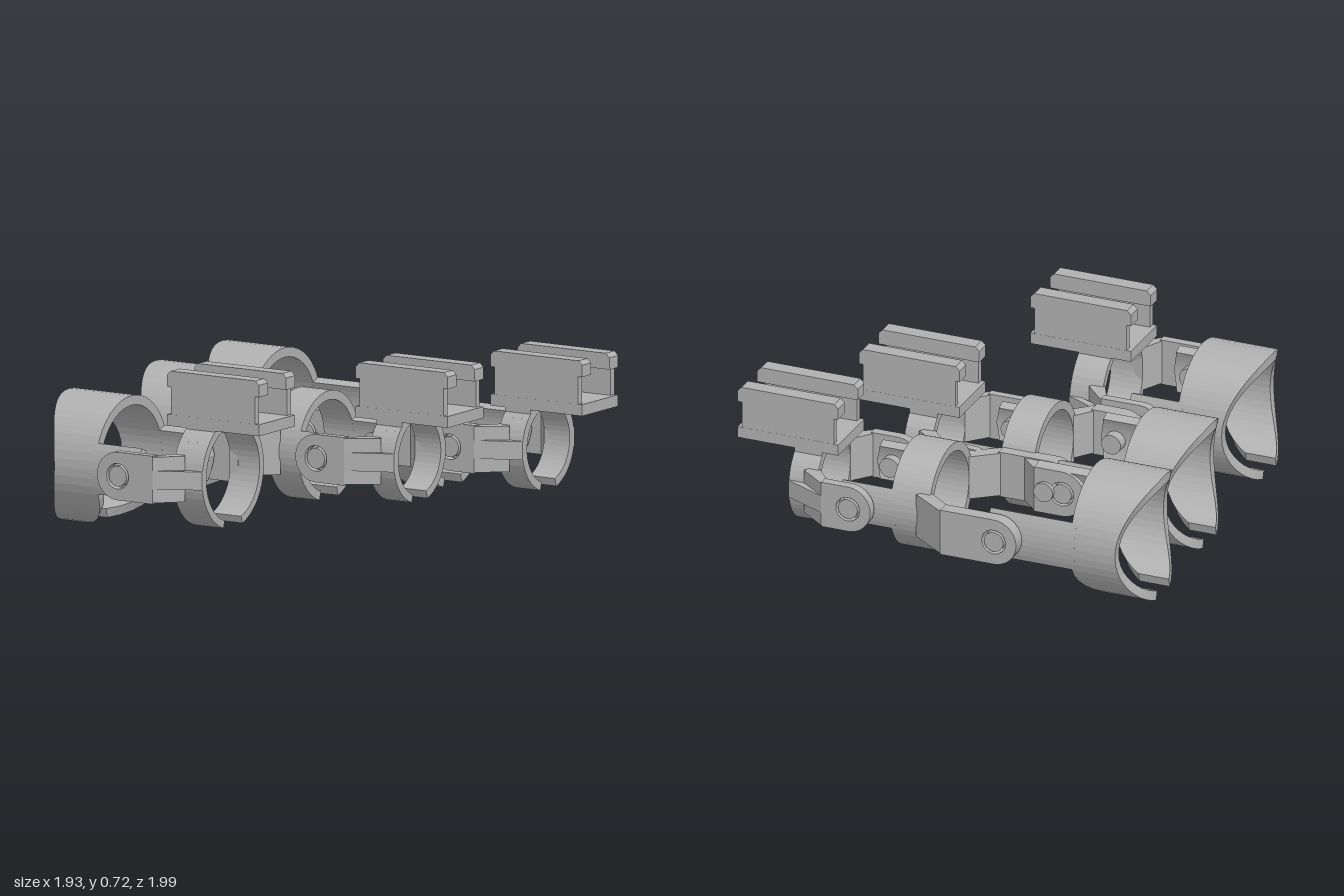
import * as THREE from 'three';

const grey = new THREE.MeshStandardMaterial({ color: 0xb0b0b0, flatShading: true });
grey.name = 'grey plastic';

function add(group, name, geometry) {
  const mesh = new THREE.Mesh(geometry, grey);
  mesh.name = name;
  group.add(mesh);
  return mesh;
}

// Curved wall around the x axis; angle 0 is up, rear and front edges are functions of the angle
function shell(rOut, rIn, a0, a1, rear, front, steps) {
  const pos = [], index = [];
  for (let i = 0; i <= steps; i++) {
    const a = a0 + (a1 - a0) * i / steps, s = Math.sin(a), c = Math.cos(a);
    const xr = rear(a), xf = front(a);
    for (const [x, r] of [[xr, rOut], [xf, rOut], [xf, rIn], [xr, rIn]]) pos.push(x, r * c, r * s);
  }
  for (let i = 0; i < steps; i++) {
    for (let k = 0; k < 4; k++) {
      const n = (k + 1) % 4, p = i * 4, q = p + 4;
      index.push(p + k, q + k, q + n, p + k, q + n, p + n);
    }
  }
  const e = steps * 4;
  index.push(0, 1, 2, 0, 2, 3, e, e + 2, e + 1, e, e + 3, e + 2);
  const g = new THREE.BufferGeometry();
  g.setAttribute('position', new THREE.Float32BufferAttribute(pos, 3));
  g.setIndex(index);
  g.computeVertexNormals();
  return g;
}

const polygon = pts => new THREE.Shape(pts.map(p => new THREE.Vector2(p[0], p[1])));
const extrude = (shape, depth) =>
  new THREE.ExtrudeGeometry(shape, { depth, bevelEnabled: false, curveSegments: 12 });

// Plan outline (x, sideways offset) raised to a height centred on the axis
function planBlock(pts, side, height) {
  return extrude(polygon(pts.map(([x, o]) => [x, -side * o])), height)
    .rotateX(-Math.PI / 2).translate(0, -height / 2, 0);
}

// Pair of curved arms running forward from a ring
function addArms(group, rOut, rIn, x0, x1) {
  for (const side of [1, -1]) {
    const range = side > 0 ? [1.15, 1.95] : [-1.95, -1.15];
    add(group, 'hingeArm', shell(rOut, rIn, range[0], range[1], () => x0,
      a => x1 - 0.02 * Math.min(1, Math.abs(Math.abs(a) - 1.55) / 0.4), 8));
  }
}

// Hinge tab, pivot pin and the slanted link to the next ring
function addLinks(group, j) {
  const h = 0.105, t = j.oOut - j.oIn;
  for (const side of [1, -1]) {
    const tab = new THREE.Shape();
    tab.moveTo(j.tabEnd, -h);
    tab.lineTo(j.tabEnd, h);
    tab.lineTo(j.pivot, h);
    tab.absarc(j.pivot, 0, h, Math.PI / 2, Math.PI * 1.5, false);
    tab.lineTo(j.tabEnd, -h);
    const hole = new THREE.Path();
    hole.absarc(j.pivot, 0, 0.056, 0, Math.PI * 2, true);
    tab.holes.push(hole);
    add(group, 'hingeTab', extrude(tab, t)).position.z = side > 0 ? j.oIn : -j.oOut;

    const inner = j.R - 0.05;
    const pin = new THREE.CylinderGeometry(0.045, 0.045, j.oOut - inner, 24).rotateX(Math.PI / 2);
    add(group, 'pivotPin', pin).position.set(j.pivot, 0, side * (j.oOut + inner) / 2);

    add(group, 'slantedLink', planBlock([
      [j.tabEnd, j.oOut], [j.x0 + 0.06, j.R - 0.005], [j.x0 + 0.04, j.R - 0.035],
      [j.x0, j.R - 0.04], [j.tabEnd - 0.01, j.oIn]], side, 0.2));
    if (j.rail !== undefined) {
      add(group, 'linkRib', planBlock([
        [j.tabEnd, j.oOut], [j.x1, j.R], [j.x1, j.R - 0.03], [j.tabEnd, j.oIn]], side, 0.08));
    }
  }
}

// Platform and open-topped rail carried by the fingertip ring
function addRail(group, j) {
  const k = j.R / 0.245, top = j.floor, width = j.x1 - j.x0;
  for (const side of [1, -1]) {
    const pts = [[0.02, top + 0.005], [0.14, top + 0.005], [0.14, top - 0.025],
      [0.19 * k, 0.155 * k], [0.16 * k, 0.14 * k], [0.09 * k, 0.197 * k]];
    const g = extrude(polygon(pts.map(([z, y]) => [-side * z, y])), width).rotateY(Math.PI / 2);
    add(group, 'platformGusset', g).position.x = j.x0;
  }
  const rail = new THREE.Group();
  rail.name = 'rail';
  rail.position.set(j.rail, top, 0);
  group.add(rail);
  const L = 0.235, c = 0.018;
  add(rail, 'railFloor', new THREE.BoxGeometry(2 * L, 0.05, 0.285)).position.y = 0.025;
  for (const side of [1, -1]) {
    add(rail, 'railWall', new THREE.BoxGeometry(2 * L - 0.04, 0.14, 0.03)).position.set(0, 0.11, side * 0.127);
    const bar = polygon([[-L, 0.17], [L, 0.17], [L, 0.24 - c], [L - c, 0.24], [c - L, 0.24], [-L, 0.24 - c]]);
    add(rail, 'railTopBar', extrude(bar, 0.07)).position.z = side > 0 ? 0.072 : -0.142;
  }
  add(rail, 'railStop', new THREE.BoxGeometry(0.04, 0.09, 0.23)).position.set(0.02, 0.09, 0);
}

const fingers = [
  { z: 0.65, y: 0.285, rear: -0.91, front: -0.59, arm: -0.35, joints: [
    { pivot: -0.44, tabEnd: -0.26, oIn: 0.3, oOut: 0.34, R: 0.243, r: 0.21, x0: -0.22, x1: -0.07, rail: -0.08, floor: 0.203 }] },
  { z: -0.097, y: 0.29, rear: -0.95, front: -0.645, arm: -0.33, joints: [
    { pivot: -0.4, tabEnd: -0.27, oIn: 0.28, oOut: 0.345, R: 0.24, r: 0.2, x0: -0.22, x1: -0.065, arm: 0.14 },
    { pivot: 0.055, tabEnd: 0.2, oIn: 0.25, oOut: 0.287, R: 0.203, r: 0.167, x0: 0.27, x1: 0.4, rail: 0.4, floor: 0.168 }] },
  { z: -0.65, y: 0.29, rear: -0.97, front: -0.65, arm: -0.25, joints: [
    { pivot: -0.32, tabEnd: -0.07, oIn: 0.285, oOut: 0.348, R: 0.24, r: 0.2, x0: 0.03, x1: 0.21, arm: 0.46 },
    { pivot: 0.385, tabEnd: 0.51, oIn: 0.25, oOut: 0.293, R: 0.205, r: 0.168, x0: 0.57, x1: 0.7, rail: 0.73, floor: 0.168 }] },
];

export function createModel() {
  const model = new THREE.Group();
  model.name = 'fingerBraces';
  for (const f of fingers) {
    const finger = new THREE.Group();
    finger.name = 'fingerBrace';
    finger.position.set(0, f.y, f.z);
    model.add(finger);

    // Base cuff: rear edge scooped at the sides, front edge cut back underneath
    const rear = a => f.rear + 0.11 * Math.sin(a) ** 2;
    const front = a => {
      const t = Math.max(0, (Math.abs(a) - 1.95) / 0.9);
      return f.front - 0.16 * t * t;
    };
    add(finger, 'baseCuff', shell(0.285, 0.243, -2.88, 2.88, rear, front, 44));
    addArms(finger, 0.285, 0.243, f.front - 0.02, f.arm);

    for (const j of f.joints) {
      add(finger, 'ring', shell(j.R, j.r, -2.83, 2.83, () => j.x0, () => j.x1, 44));
      addLinks(finger, j);
      if (j.arm !== undefined) addArms(finger, j.R, j.r, j.x1 - 0.02, j.arm);
      if (j.rail !== undefined) addRail(finger, j);
    }
  }
  return model;
}
